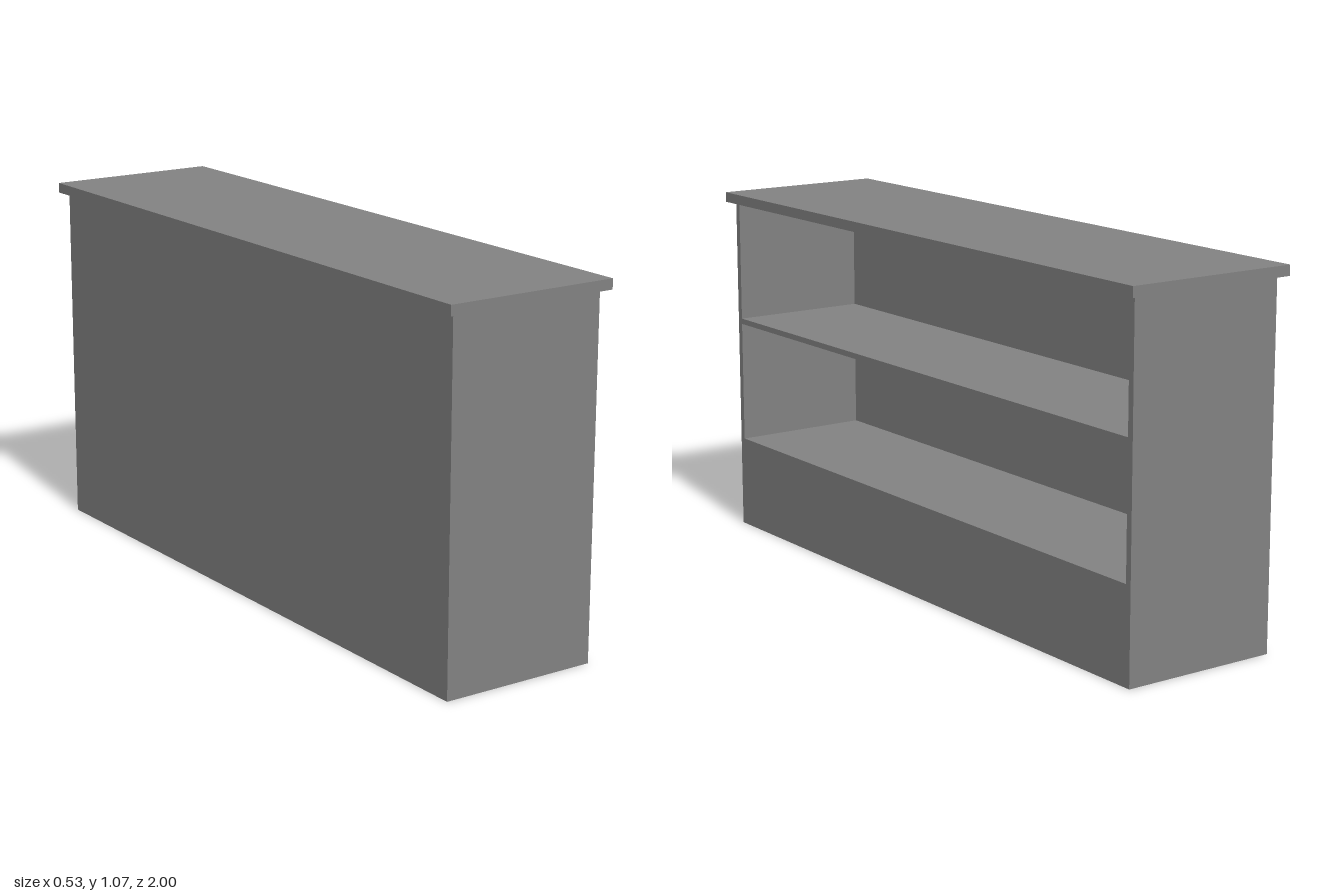
import * as THREE from 'three';

const HALF_LENGTH = 0.978, HALF_DEPTH = 0.24, BODY_TOP = 1.038, TOP = 1.068;
const WALL = 0.019, BACK = 0.057, FLOOR = 0.281, SHELF_LOW = 0.653, SHELF_HIGH = 0.67;

const material = new THREE.MeshStandardMaterial({ color: 0x828282 });

function addMesh(group, name, geometry, x, y, z) {
  const mesh = new THREE.Mesh(geometry, material);
  mesh.name = name;
  mesh.position.set(x, y, z);
  group.add(mesh);
}

const points = (list) => list.map(([x, y]) => new THREE.Vector2(x, y));

export function createModel() {
  const group = new THREE.Group();
  group.name = 'shelfCounter';
  const inner = HALF_LENGTH - WALL;

  // Plinth, side walls and middle shelf: upper bay is a notch, lower bay a hole
  const frame = new THREE.Shape(points([
    [-HALF_LENGTH, 0], [HALF_LENGTH, 0], [HALF_LENGTH, BODY_TOP], [inner, BODY_TOP],
    [inner, SHELF_HIGH], [-inner, SHELF_HIGH], [-inner, BODY_TOP], [-HALF_LENGTH, BODY_TOP],
  ]));
  frame.holes.push(new THREE.Path(points([
    [-inner, FLOOR], [-inner, SHELF_LOW], [inner, SHELF_LOW], [inner, FLOOR],
  ])));
  const frameGeometry = new THREE.ExtrudeGeometry(frame, {
    depth: 2 * HALF_DEPTH - BACK, bevelEnabled: false,
  });
  // Turn the extrusion so the open bays face +x
  frameGeometry.rotateY(Math.PI / 2);
  addMesh(group, 'shelfFrame', frameGeometry, -HALF_DEPTH + BACK, 0, 0);

  // Thick closed back behind both bays
  addMesh(group, 'backPanel', new THREE.BoxGeometry(BACK, BODY_TOP, 2 * HALF_LENGTH),
    -HALF_DEPTH + BACK / 2, BODY_TOP / 2, 0);

  // Overhanging counter top
  addMesh(group, 'counterTop', new THREE.BoxGeometry(0.528, TOP - BODY_TOP, 2),
    0, (TOP + BODY_TOP) / 2, 0);

  return group;
}
